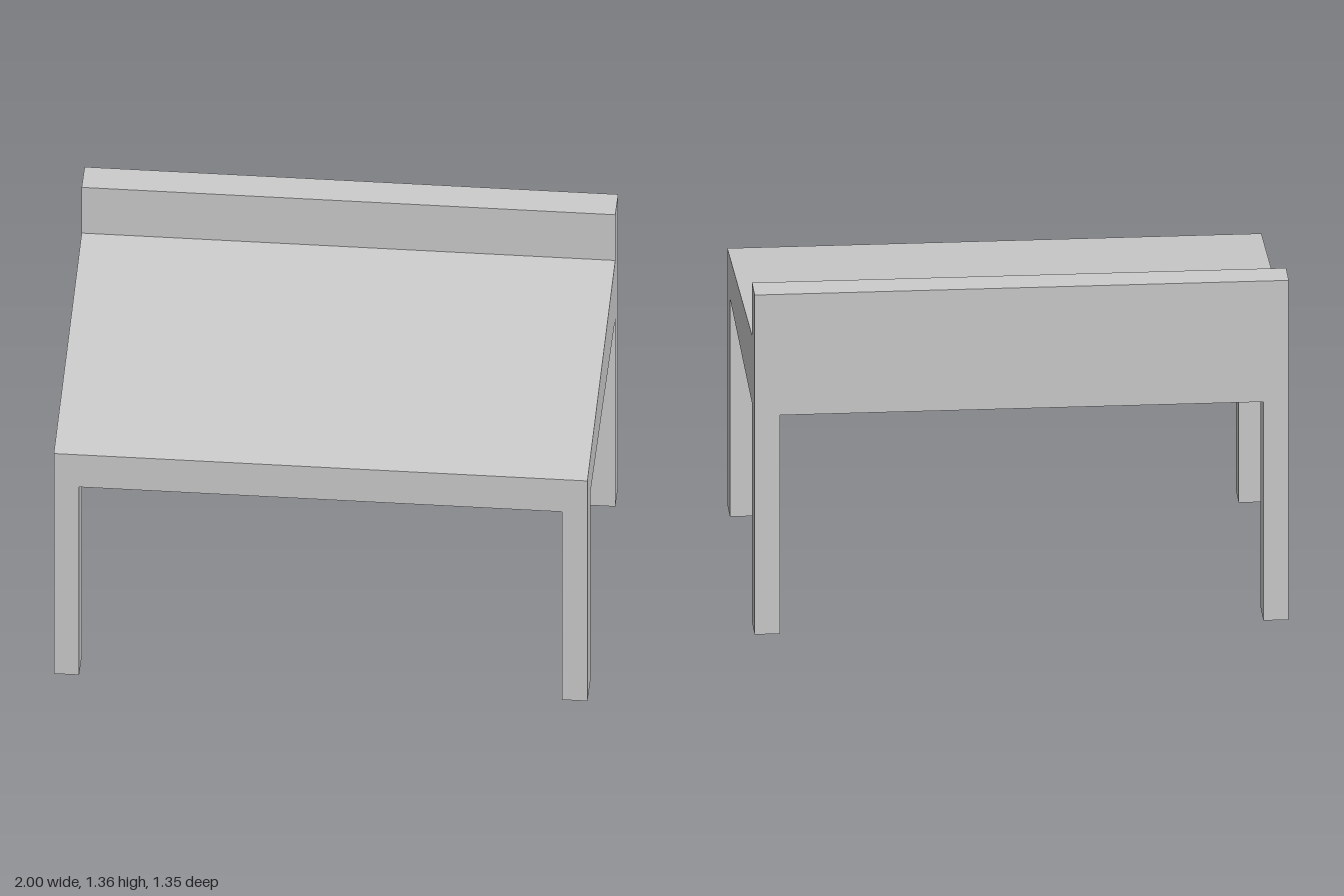
import * as THREE from 'three';

const HALF_WIDTH = 1, HALF_DEPTH = 0.673;
const LEG_WIDTH = 0.095, LEG_DEPTH = 0.128;
const UNDERSIDE = 0.876, FRONT_TOP = 1.026, BACK_TOP = 1.147, LEDGE_TOP = 1.36;

export function createModel() {
  const group = new THREE.Group();
  group.name = 'slopedDesk';
  const material = new THREE.MeshStandardMaterial({ color: 0xcccccc, flatShading: true });

  // Sloped top with raised back ledge: side profile (z, y) extruded across the width
  const ledgeZ = -HALF_DEPTH + LEG_DEPTH;
  const profile = new THREE.Shape([
    [-HALF_DEPTH, UNDERSIDE], [HALF_DEPTH, UNDERSIDE], [HALF_DEPTH, FRONT_TOP],
    [ledgeZ, BACK_TOP], [ledgeZ, LEDGE_TOP], [-HALF_DEPTH, LEDGE_TOP],
  ].map(([z, y]) => new THREE.Vector2(z, y)));
  const topGeometry = new THREE.ExtrudeGeometry(profile, { depth: 2 * HALF_WIDTH, bevelEnabled: false });
  topGeometry.rotateY(-Math.PI / 2).translate(HALF_WIDTH, 0, 0);
  const top = new THREE.Mesh(topGeometry, material);
  top.name = 'slopedTopWithLedge';
  group.add(top);

  // Four corner legs, flush with the outer faces
  const legGeometry = new THREE.BoxGeometry(LEG_WIDTH, UNDERSIDE, LEG_DEPTH);
  for (const [sideName, sx] of [['Left', 1], ['Right', -1]]) {
    for (const [endName, sz] of [['front', 1], ['back', -1]]) {
      const leg = new THREE.Mesh(legGeometry, material);
      leg.name = `${endName}${sideName}Leg`;
      leg.position.set(sx * (HALF_WIDTH - LEG_WIDTH / 2), UNDERSIDE / 2, sz * (HALF_DEPTH - LEG_DEPTH / 2));
      group.add(leg);
    }
  }
  return group;
}
